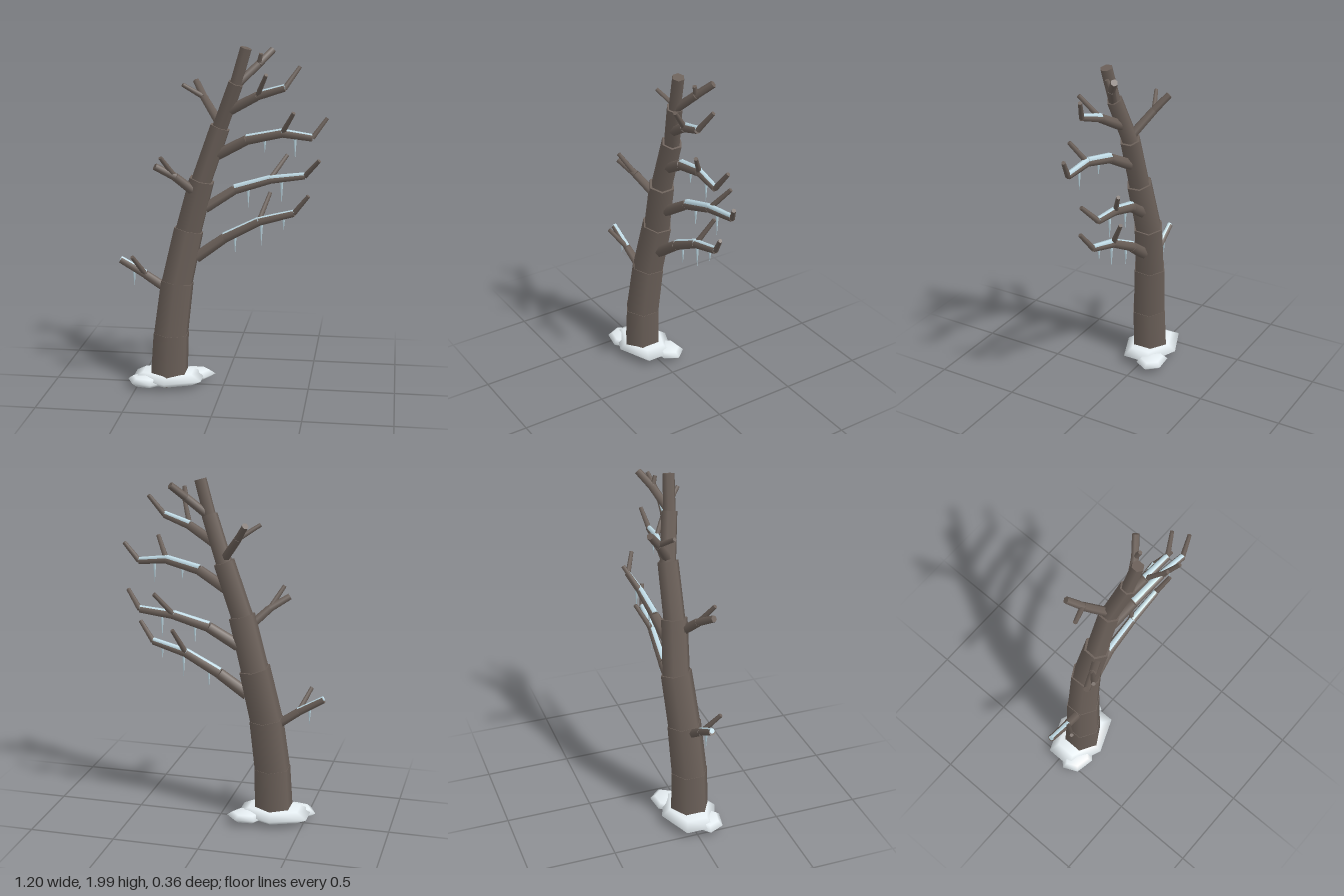
import * as THREE from 'three';

const bark = new THREE.MeshStandardMaterial({ color: 0x6b6059 });
const snow = new THREE.MeshStandardMaterial({ color: 0xe6eef2 });
const ice = new THREE.MeshStandardMaterial({ color: 0xc2dde8 });
const UP = new THREE.Vector3(0, 1, 0);
const vec = (p) => new THREE.Vector3(...p);

// Tapered limb between two points
function limb(name, a, b, r0, r1, material, sides = 6) {
  const dir = b.clone().sub(a);
  const mesh = new THREE.Mesh(new THREE.CylinderGeometry(r1, r0, dir.length(), sides), material);
  mesh.position.copy(a).addScaledVector(dir, 0.5);
  mesh.quaternion.setFromUnitVectors(UP, dir.normalize());
  mesh.name = name;
  return mesh;
}

// Leaning trunk: a stack of stepped segments along a curve of joints
function buildTrunk() {
  const trunk = new THREE.Group();
  trunk.name = 'trunk';
  const spine = [[-0.32, 0.02, 0.02], [-0.305, 0.32, 0.02], [-0.27, 0.625, 0], [-0.205, 0.93, -0.025],
    [-0.125, 1.23, -0.008], [-0.02, 1.535, -0.008], [0.075, 1.79, 0.035], [0.132, 1.985, 0.05]].map(vec);
  [0.116, 0.107, 0.097, 0.082, 0.064, 0.048, 0.036].forEach((r, i) => {
    // Each segment starts slightly inside the one below it
    const start = spine[i].clone().lerp(spine[i + 1], i ? -0.05 : 0);
    trunk.add(limb('trunkSegment', start, spine[i + 1], r, r * 0.93 + 0.002, bark));
  });
  return trunk;
}

// Branch through its joints, thinning to the tip.
// twigs: [joint index, tip]; icicles: [position along the joints, length]
function buildBranch(name, radius, joints, twigs, iced = false, icicles = []) {
  const group = new THREE.Group();
  group.name = name;
  const path = joints.map(vec);
  const radiusAt = (i) => THREE.MathUtils.lerp(radius, 0.019, i / (path.length - 1));
  const raised = (i) => path[i].clone().addScaledVector(UP, radiusAt(i) * 0.45);

  for (let i = 0; i < path.length - 1; i++) {
    const r0 = radiusAt(i), r1 = radiusAt(i + 1);
    group.add(limb('branchSegment', path[i], path[i + 1], r0, r1 * 1.05, bark));
    // Ice along the upper side, beyond the first segment
    if (iced && i > 0) group.add(limb('iceCoat', raised(i), raised(i + 1), r0 * 0.75, r1 * 0.8, ice));
  }
  for (const [joint, tip] of twigs) group.add(limb('twig', path[joint], vec(tip), 0.016, 0.012, bark));
  for (const [t, length] of icicles) {
    const i = Math.floor(t);
    const top = path[i].clone().lerp(path[i + 1], t - i);
    group.add(limb('icicle', top, top.clone().addScaledVector(UP, -length), 0.011, 0.0005, ice, 5));
  }
  return group;
}

// Low faceted heap of snow, turned about y
function buildMound(position, size, turn) {
  const mound = new THREE.Mesh(new THREE.SphereGeometry(1, 6, 4), snow);
  mound.name = 'snowMound';
  mound.position.set(...position);
  mound.scale.set(...size);
  mound.rotation.y = turn;
  return mound;
}

export function createModel() {
  const tree = new THREE.Group();
  tree.name = 'frozenTree';
  tree.add(buildTrunk());

  // Long iced branches on the left, swept one way
  tree.add(buildBranch('lowLongBranch', 0.036,
    [[-0.16, 0.77, -0.015], [0, 0.885, -0.03], [0.2, 0.99, -0.025], [0.4, 1.045, -0.02]],
    [[2, [0.257, 1.145, -0.11]], [3, [0.485, 1.155, 0.01]]],
    true, [[1.32, 0.12], [2.08, 0.145], [2.72, 0.08]]));
  tree.add(buildBranch('middleLongBranch', 0.034,
    [[-0.11, 1.06, -0.03], [0.055, 1.165, -0.06], [0.255, 1.225, -0.075], [0.455, 1.25, -0.087]],
    [[2, [0.35, 1.36, -0.15]], [3, [0.54, 1.35, -0.035]]],
    true, [[1.4, 0.125], [2.35, 0.145]]));
  tree.add(buildBranch('upperLongBranch', 0.033,
    [[-0.03, 1.38, 0], [0.135, 1.47, 0.03], [0.335, 1.515, 0.05], [0.505, 1.495, 0.065]],
    [[2, [0.405, 1.64, 0.12]], [3, [0.585, 1.605, 0.04]]],
    true, [[1.52, 0.09], [2.44, 0.13]]));
  tree.add(buildBranch('topLongBranch', 0.031,
    [[0.04, 1.635, 0.015], [0.195, 1.72, 0.05], [0.35, 1.77, 0.072]],
    [[1, [0.255, 1.85, 0.15]], [2, [0.43, 1.885, 0.03]]], true));

  // Short branches at the crown and on the other side
  tree.add(buildBranch('crownBranch', 0.025,
    [[0.09, 1.79, 0.035], [0.195, 1.89, -0.02], [0.268, 1.965, -0.08]],
    [[1, [0.21, 1.95, 0]]]));
  tree.add(buildBranch('topShortBranch', 0.027,
    [[-0.02, 1.55, -0.01], [-0.125, 1.69, -0.1], [-0.18, 1.775, -0.165]],
    [[1, [-0.24, 1.765, -0.05]]]));
  tree.add(buildBranch('middleShortBranch', 0.027,
    [[-0.16, 1.16, 0.02], [-0.265, 1.26, 0.08], [-0.37, 1.325, 0.13]],
    [[1, [-0.335, 1.38, 0.15]]]));
  tree.add(buildBranch('lowShortBranch', 0.028,
    [[-0.32, 0.58, 0.02], [-0.45, 0.67, 0.035], [-0.595, 0.755, 0.04]],
    [[1, [-0.51, 0.795, 0.125]]], true, [[1.45, 0.105]]));

  // Snow around the foot
  tree.add(buildMound([-0.325, 0.048, 0.01], [0.165, 0.048, 0.235], Math.PI / 2));
  tree.add(buildMound([-0.175, 0.04, -0.075], [0.115, 0.032, 0.09], 0.1));
  tree.add(buildMound([-0.445, 0.038, 0.085], [0.115, 0.034, 0.09], -0.2));
  return tree;
}
